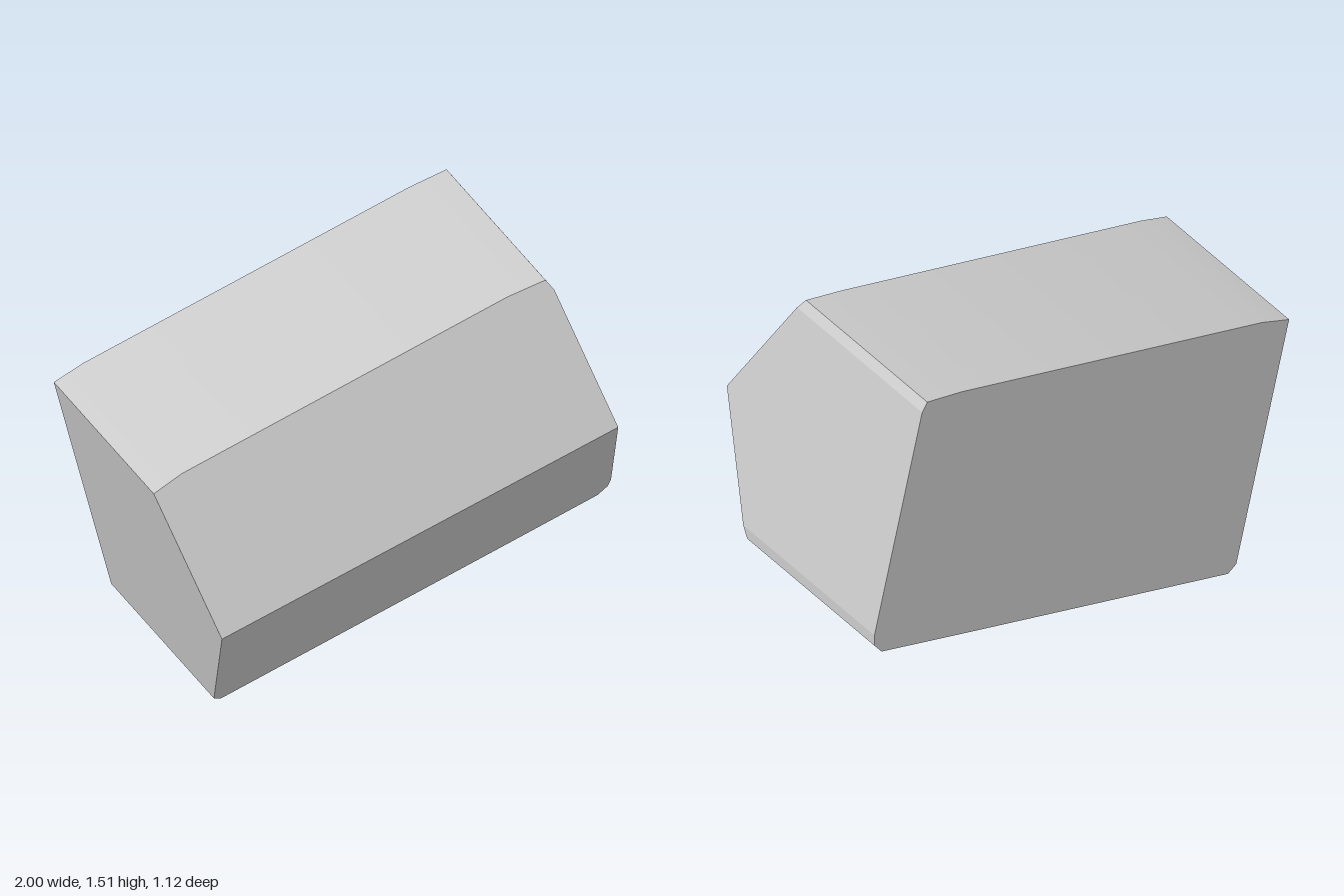
import * as THREE from 'three';
import { ConvexGeometry } from 'three/addons/geometries/ConvexGeometry.js';
import { toCreasedNormals } from 'three/addons/utils/BufferGeometryUtils.js';

// Tilted rectangle with worn corners, counter-clockwise as [x, y]
const outline = [
  [-1, 1.12], [-0.871, 0.57], [-0.745, 0.03], [-0.705, 0],
  [0.58, 0.295], [0.965, 0.385], [1, 0.43], [1, 0.48],
  [0.89, 0.955], [0.77, 1.475], [0.745, 1.515], [0.58, 1.49], [-0.87, 1.165],
];
const backZ = -0.563;
const ridgeStart = new THREE.Vector2(-0.871, 0.57);
const ridgeEnd = new THREE.Vector2(0.89, 0.955);

// The front falls away in a flat slope on each side of the ridge
function frontZ(x, y) {
  const along = ridgeEnd.clone().sub(ridgeStart).normalize();
  const d = along.cross(new THREE.Vector2(x, y).sub(ridgeStart));
  return 0.561 - (d > 0 ? 0.56 * d : -0.53 * d);
}

export function createModel() {
  const group = new THREE.Group();
  group.name = 'ridgedBlock';

  // Back rim and sloped front rim
  const points = outline.flatMap(([x, y]) => [
    new THREE.Vector3(x, y, backZ),
    new THREE.Vector3(x, y, frontZ(x, y)),
  ]);
  const block = new THREE.Mesh(
    toCreasedNormals(new ConvexGeometry(points), 0.2),
    new THREE.MeshStandardMaterial({ color: 0xcccccc }),
  );
  block.name = 'block';
  group.add(block);
  return group;
}
